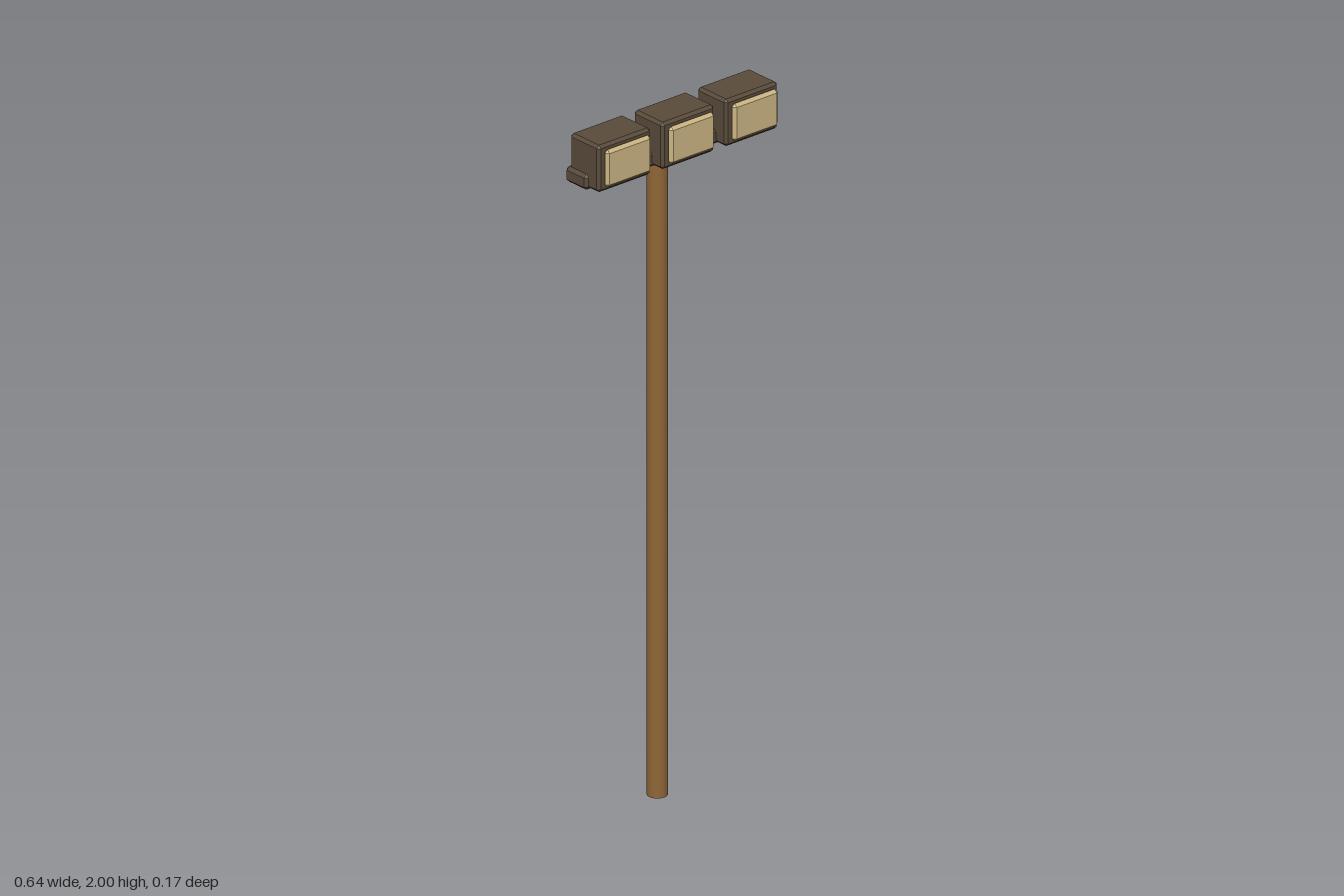
import * as THREE from 'three';
import { ConvexGeometry } from 'three/addons/geometries/ConvexGeometry.js';

// Box with all edges cut by a flat chamfer
function chamferBox(w, h, d, c) {
  const points = [];
  for (const sx of [-1, 1]) for (const sy of [-1, 1]) for (const sz of [-1, 1]) {
    const x = sx * w / 2, y = sy * h / 2, z = sz * d / 2;
    points.push(
      new THREE.Vector3(x, y - sy * c, z - sz * c),
      new THREE.Vector3(x - sx * c, y, z - sz * c),
      new THREE.Vector3(x - sx * c, y - sy * c, z));
  }
  return new ConvexGeometry(points);
}

export function createModel() {
  const group = new THREE.Group();
  const wood = new THREE.MeshStandardMaterial({ name: 'brown wood', color: 0x906637 });
  const casing = new THREE.MeshStandardMaterial({ name: 'dark casing', color: 0x594b3b });
  const glass = new THREE.MeshStandardMaterial({ name: 'cream glass', color: 0xcbb583 });

  const add = (name, geometry, material, x, y, z) => {
    const mesh = new THREE.Mesh(geometry, material);
    mesh.name = name;
    mesh.position.set(x, y, z);
    group.add(mesh);
  };

  // Pole behind the crossbar
  add('pole', new THREE.CylinderGeometry(0.028, 0.028, 1.895, 24), wood, 0, 0.9475, -0.059);

  // Crossbar carrying the lamps
  add('crossbar', chamferBox(0.644, 0.045, 0.086, 0.009), casing, 0, 1.8825, -0.017);

  // Three lamp housings, each with a raised lens
  const housing = chamferBox(0.184, 0.135, 0.117, 0.008);
  const lens = chamferBox(0.157, 0.108, 0.0182, 0.0088);
  ['right', 'middle', 'left'].forEach((side, i) => {
    const x = (i - 1) * 0.221;
    add(side + 'LampHousing', housing, casing, x, 1.9325, 0.0075);
    add(side + 'LampLens', lens, glass, x, 1.935, 0.0752);
  });

  return group;
}
